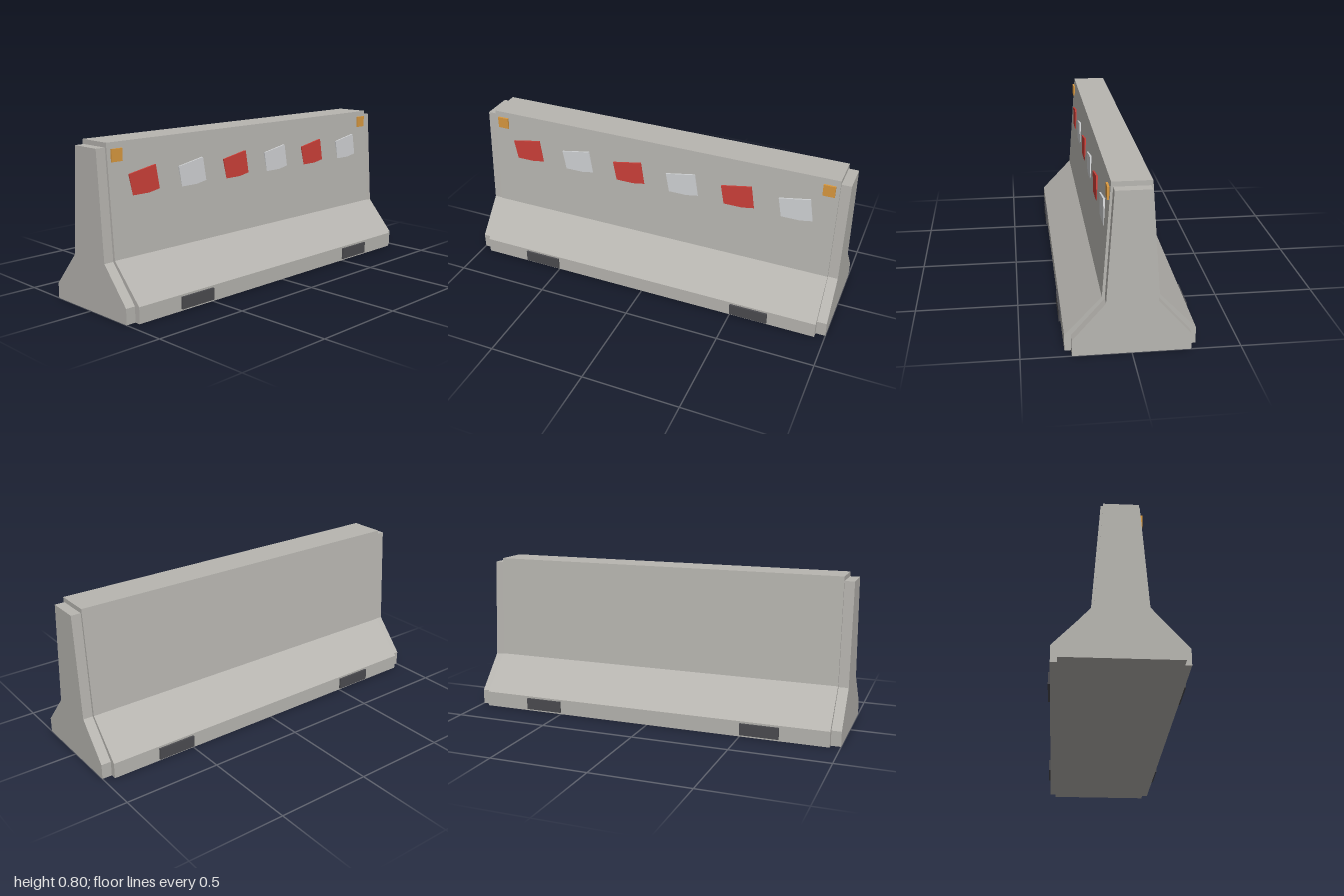
import * as THREE from 'three';

const material = (name, color) => {
  const m = new THREE.MeshStandardMaterial({ color });
  m.name = name;
  return m;
};

export function createModel() {
  const group = new THREE.Group();
  const concrete = material('concrete grey', 0xb8b6b1);
  const red = material('stripe red', 0xd0413a);
  const white = material('stripe white', 0xd4d6d8);
  const amber = material('reflector amber', 0xdb9a40);
  const rubber = material('dark rubber', 0x4c4c50);

  const add = (name, geometry, mat, x = 0, y = 0, z = 0) => {
    const mesh = new THREE.Mesh(geometry, mat);
    mesh.name = name;
    mesh.position.set(x, y, z);
    group.add(mesh);
    return mesh;
  };

  // Symmetric barrier section, given as its right half from bottom to top
  const section = (half, depth) => {
    const mirrored = half.map(([x, y]) => [-x, y]).reverse();
    const shape = new THREE.Shape([...half, ...mirrored].map(([x, y]) => new THREE.Vector2(x, y)));
    return new THREE.ExtrudeGeometry(shape, { depth, bevelEnabled: false });
  };

  // Long barrier body
  add('barrierBody', section([[0.3, 0], [0.3, 0.08], [0.13, 0.26], [0.09, 0.8]], 1.9), concrete, 0, 0, -0.95);

  // Slightly smaller joint blocks at both ends
  const endHalf = [[0.27, 0], [0.27, 0.077], [0.117, 0.253], [0.081, 0.777]];
  add('frontEnd', section(endHalf, 0.05), concrete, 0, 0, 0.95);
  add('backEnd', section(endHalf, 0.05), concrete, 0, 0, -1);

  // Tilted warning plates, alternating red and white
  const plate = new THREE.BoxGeometry(0.01, 0.12, 0.16);
  for (let i = 0; i < 6; i++) {
    const stripe = add(i % 2 ? 'whiteStripe' : 'redStripe', plate, i % 2 ? white : red, 0.104, 0.6, 0.75 - i * 0.3);
    stripe.rotation.x = 0.175;
  }

  // Corner reflectors
  const reflector = new THREE.BoxGeometry(0.01, 0.06, 0.06);
  for (const z of [0.9, -0.9]) add('reflector', reflector, amber, 0.099, 0.74, z);

  // Lifting slots along the foot, on both sides
  const slot = new THREE.BoxGeometry(0.02, 0.06, 0.2);
  for (const x of [-0.3, 0.3]) {
    for (const z of [-0.6, 0.6]) add('liftingSlot', slot, rubber, x, 0.04, z);
  }
  return group;
}
